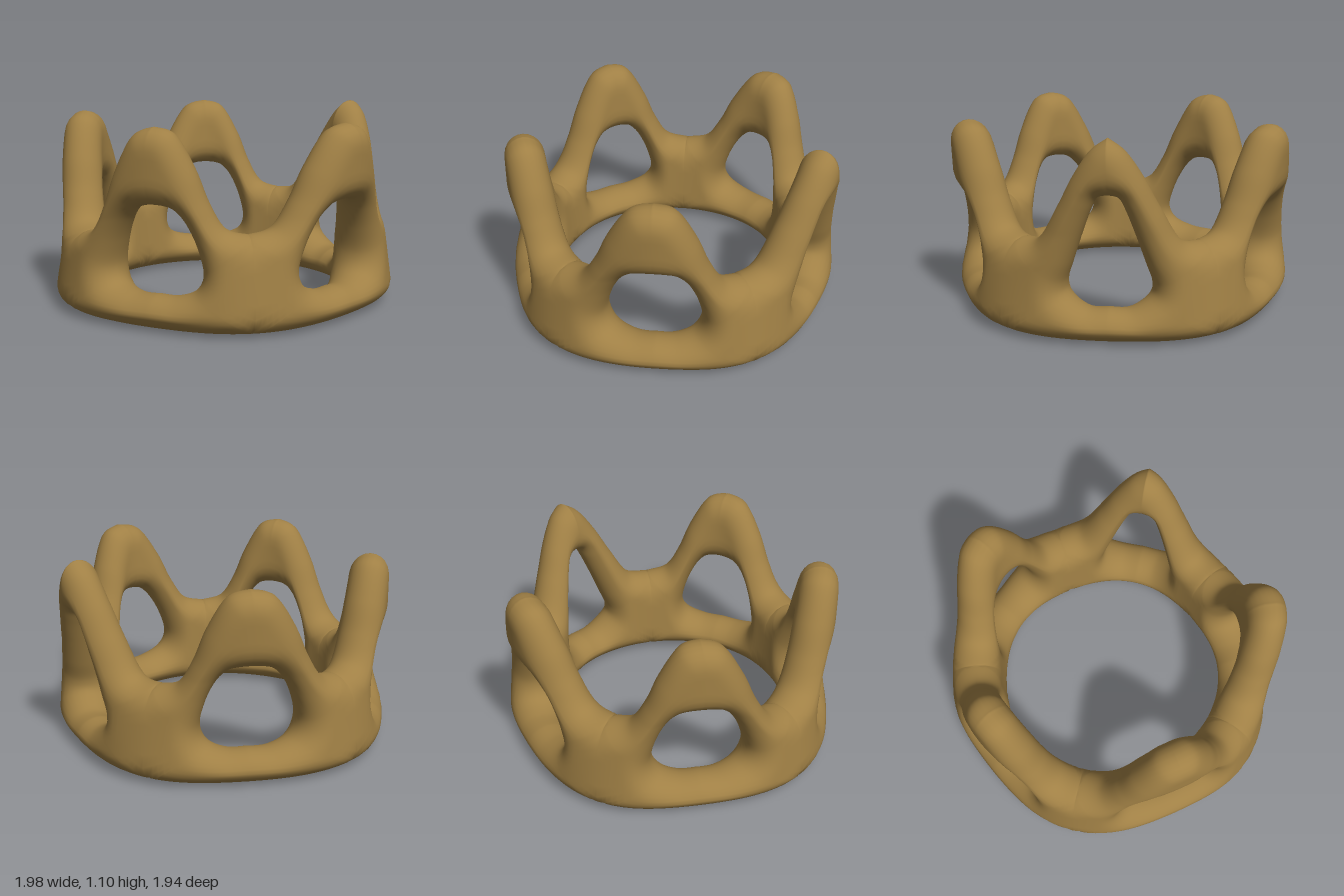
import * as THREE from 'three';
import { mergeVertices } from 'three/addons/utils/BufferGeometryUtils.js';

const RADIUS = 0.82;               // radius at which the flat pattern is rolled up
const W = RADIUS * Math.PI / 5;    // half the width of one of five panels
const VALLEY = 0.52, BASE = 0.01, EDGE = 0.12;
const STEPS = 10, ROWS = 14;

const points = (list) => list.map(([a, y]) => new THREE.Vector2(a, y));

// Half patterns (arc, height): window from sill to top, crest from valley to tip
const roundTooth = {
  window: points([[0, 0.19], [0.12, 0.19], [0.23, 0.23], [0.27, 0.32], [0.235, 0.46], [0.175, 0.58], [0.115, 0.645], [0.06, 0.665], [0, 0.67]]),
  crest: points([[W, VALLEY], [0.39, 0.555], [0.3, 0.69], [0.225, 0.86], [0.115, 1.035], [0, 1.075]]),
};
const pointedTooth = {
  window: points([[0, 0.19], [0.11, 0.19], [0.21, 0.25], [0.23, 0.32], [0.19, 0.44], [0.13, 0.61], [0.085, 0.73], [0.05, 0.8], [0, 0.815]]),
  crest: points([[W, VALLEY], [0.38, 0.55], [0.26, 0.74], [0.175, 0.9], [0.085, 1.04], [0, 1.11]]),
};

// Teeth in order around the ring: lean is outward tilt, skew a sideways shift
const teeth = [
  { ...pointedTooth, lean: 0.08, skew: 0 },
  { ...roundTooth, lean: 0.07, skew: -0.025 },
  { ...roundTooth, lean: 0.025, skew: -0.02 },
  { ...roundTooth, lean: 0.025, skew: 0.02 },
  { ...roundTooth, lean: 0.07, skew: 0.025 },
];

// Distance from a point to a polyline
function distanceTo(p, line) {
  let best = Infinity;
  for (let i = 0; i + 1 < line.length; i++) {
    const d = line[i + 1].clone().sub(line[i]);
    const t = THREE.MathUtils.clamp(p.clone().sub(line[i]).dot(d) / (d.lengthSq() || 1), 0, 1);
    best = Math.min(best, d.multiplyScalar(t).add(line[i]).distanceTo(p));
  }
  return best;
}

// Matching samples on the window edge and on the outer edge of half a panel
function sampleHalf({ window, crest }) {
  const windowCurve = new THREE.SplineCurve(window);
  const crestCurve = new THREE.SplineCurve(crest);
  const inner = [], outer = [];
  for (let j = 0; j <= 8 * STEPS; j++) {
    const k = j / STEPS;
    const climb = 0.5 - 0.5 * Math.cos(Math.PI * (k - 2));
    inner.push(windowCurve.getPoint(k / 8));
    if (k <= 2) outer.push(new THREE.Vector2(W * k / 2, BASE));                          // foot
    else if (k <= 3) outer.push(new THREE.Vector2(W, BASE + (VALLEY - BASE) * climb));   // seam
    else outer.push(crestCurve.getPoint((k - 3) / 5));                                   // crest
  }
  return { inner, outer };
}

// Roll a pattern point onto the ring; side is +1 outside, -1 inside
function roll(a, y, fullness, { lean, skew }, angle, side) {
  const seam = Math.sin(Math.PI / 2 * a / W) ** 2;
  const flare = seam * Math.max(0, 1 - y / 0.6);
  const centre = 0.8 + lean * y * (1 - seam) + 0.025 * flare;
  const half = (0.14 - 0.03 * Math.min(y, 1) + 0.04 * flare) * fullness;
  const r = centre + side * half, t = angle + (a + skew * (1 - seam)) / RADIUS;
  const dip = 0.11 * Math.max(0, -Math.cos(t)) ** 16;   // lower valley at the -x end
  return [r * Math.cos(t), y * (1 - dip), r * Math.sin(t)];
}

// One arched tooth with its window, thick in the middle and rounded at free edges
function addTooth(tooth, angle, positions, indices) {
  const { inner, outer } = sampleHalf(tooth);
  const n = inner.length - 1, columns = 2 * n;
  const foot = outer.slice(0, 2 * STEPS + 1), crest = outer.slice(3 * STEPS);
  for (const side of [1, -1]) {
    const start = positions.length / 3;
    for (let j = 0; j < columns; j++) {
      const h = j <= n ? j : columns - j, mirror = j <= n ? 1 : -1;
      for (let i = 0; i <= ROWS; i++) {
        const p = inner[h].clone().lerp(outer[h], 0.5 - 0.5 * Math.cos(Math.PI * i / ROWS));
        const d = Math.min(distanceTo(p, inner), distanceTo(p, foot), distanceTo(p, crest));
        const fullness = Math.sqrt(Math.max(0, 1 - (1 - Math.min(d / EDGE, 1)) ** 2));
        positions.push(...roll(mirror * p.x, p.y, fullness, tooth, angle, side));
      }
    }
    for (let j = 0; j < columns; j++) {
      for (let i = 0; i < ROWS; i++) {
        const a = start + j * (ROWS + 1) + i;
        const b = start + ((j + 1) % columns) * (ROWS + 1) + i;
        if (side > 0) indices.push(a, b, a + 1, b, b + 1, a + 1);
        else indices.push(a, a + 1, b, b, a + 1, b + 1);
      }
    }
  }
}

export function createModel() {
  const model = new THREE.Group();
  model.name = 'crown';

  // Five teeth joined at the valleys into one smooth ring
  const positions = [], indices = [];
  teeth.forEach((tooth, k) => addTooth(tooth, k * 2 * Math.PI / 5, positions, indices));
  let geometry = new THREE.BufferGeometry();
  geometry.setAttribute('position', new THREE.Float32BufferAttribute(positions, 3));
  geometry.setIndex(indices);
  geometry = mergeVertices(geometry, 1e-4);
  geometry.computeVertexNormals();

  const ring = new THREE.Mesh(geometry, new THREE.MeshStandardMaterial({ color: 0xa08045 }));
  ring.name = 'crownRing';
  model.add(ring);
  return model;
}
